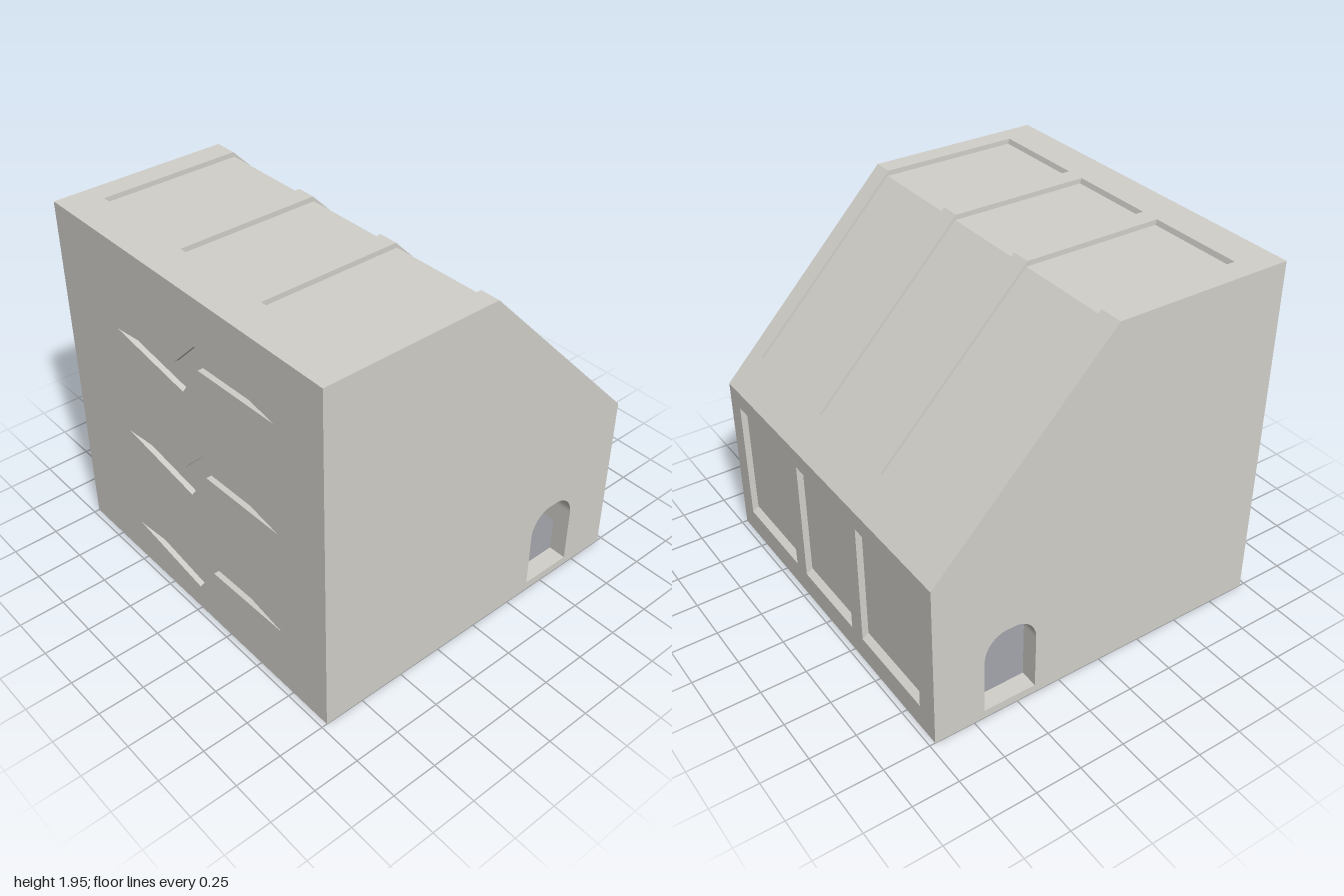
import * as THREE from 'three';

const W = 0.97, T = 0.1, H = 1.95, EAVE = 0.935;

// closed shape from [x, y] pairs
const poly = (pts) => new THREE.Shape(pts.map(([x, y]) => new THREE.Vector2(x, y)));

export function createModel() {
  const model = new THREE.Group();
  model.name = 'slopedHouse';
  const wall = new THREE.MeshStandardMaterial({ name: 'warm grey wall', color: 0xd2d0ca });
  const floor = new THREE.MeshStandardMaterial({ name: 'cool grey floor', color: 0x95959c });

  const add = (name, geometry, material = wall) => {
    const mesh = new THREE.Mesh(geometry, material);
    mesh.name = name;
    model.add(mesh);
    return mesh;
  };
  const extrude = (shape, depth) =>
    new THREE.ExtrudeGeometry(shape, { depth, bevelEnabled: false, curveSegments: 10 });

  // end walls with a round-topped doorway
  const gable = poly([[-W, 0], [W, 0], [W, EAVE], [0, H], [-W, H]]);
  const door = new THREE.Path();
  door.moveTo(0.395, 0.045);
  door.lineTo(0.69, 0.045);
  door.lineTo(0.69, 0.36);
  door.absellipse(0.565, 0.36, 0.125, 0.14, 0, Math.PI / 2, false);
  door.lineTo(0.52, 0.5);
  door.absellipse(0.52, 0.36, 0.125, 0.14, Math.PI / 2, Math.PI, false);
  door.lineTo(0.395, 0.045);
  gable.holes.push(door);
  add('frontWall', extrude(gable, T)).position.z = 1 - T;
  add('backWall', extrude(gable, T)).position.z = -1;

  // roof and low side wall, in strips along z: plain ribs and recessed panels
  const inner = [[-W + T, H - T], [-0.045, H - T], [W - T, 0.895], [W - T, 0]];
  const rib = poly([[W, 0], [W, EAVE], [0, H], [-W + T, H], ...inner]);
  const panel = poly([
    [W, 0], [W, 0.135], [W - 0.035, 0.16], [W - 0.035, 0.835], [W, 0.835], [W, EAVE],
    [0.815, 1.097], [0.815, 1.077], [0.005, H - 0.027], [-0.762, H - 0.027], [-0.77, H],
    [-W + T, H], ...inner,
  ]);
  const cuts = [-0.9, -0.872, -0.337, -0.233, 0.252, 0.357, 0.892, 0.9];
  for (let i = 0; i < cuts.length - 1; i++) {
    const recessed = i % 2 === 1;
    const strip = extrude(recessed ? panel : rib, cuts[i + 1] - cuts[i]);
    add(recessed ? 'recessedPanel' : 'rib', strip).position.z = cuts[i];
  }

  // tall side wall: outer skin with three zigzag recesses over a solid backing
  const skin = poly([[-0.9, 0], [0.9, 0], [0.9, H], [-0.9, H]]);
  const zigzag = [[-0.53, 1.46], [-0.05, 1.52], [0.12, 1.69], [0.68, 1.59], [0.135, 1.57], [0, 1.38]];
  for (let i = 0; i < 3; i++) {
    skin.holes.push(new THREE.Path(zigzag.map(([z, y]) => new THREE.Vector2(z, y - i * 0.616))));
  }
  const depth = 0.03;
  add('tallWallSkin', extrude(skin, depth).rotateY(-Math.PI / 2)).position.x = -W + depth;
  add('tallWallBacking', new THREE.BoxGeometry(T - depth, H, 1.8))
    .position.set(-W + (T + depth) / 2, H / 2, 0);

  // floor slab inside the walls
  add('floor', new THREE.BoxGeometry(2 * (W - T), 0.045, 1.8), floor).position.y = 0.0225;

  return model;
}
